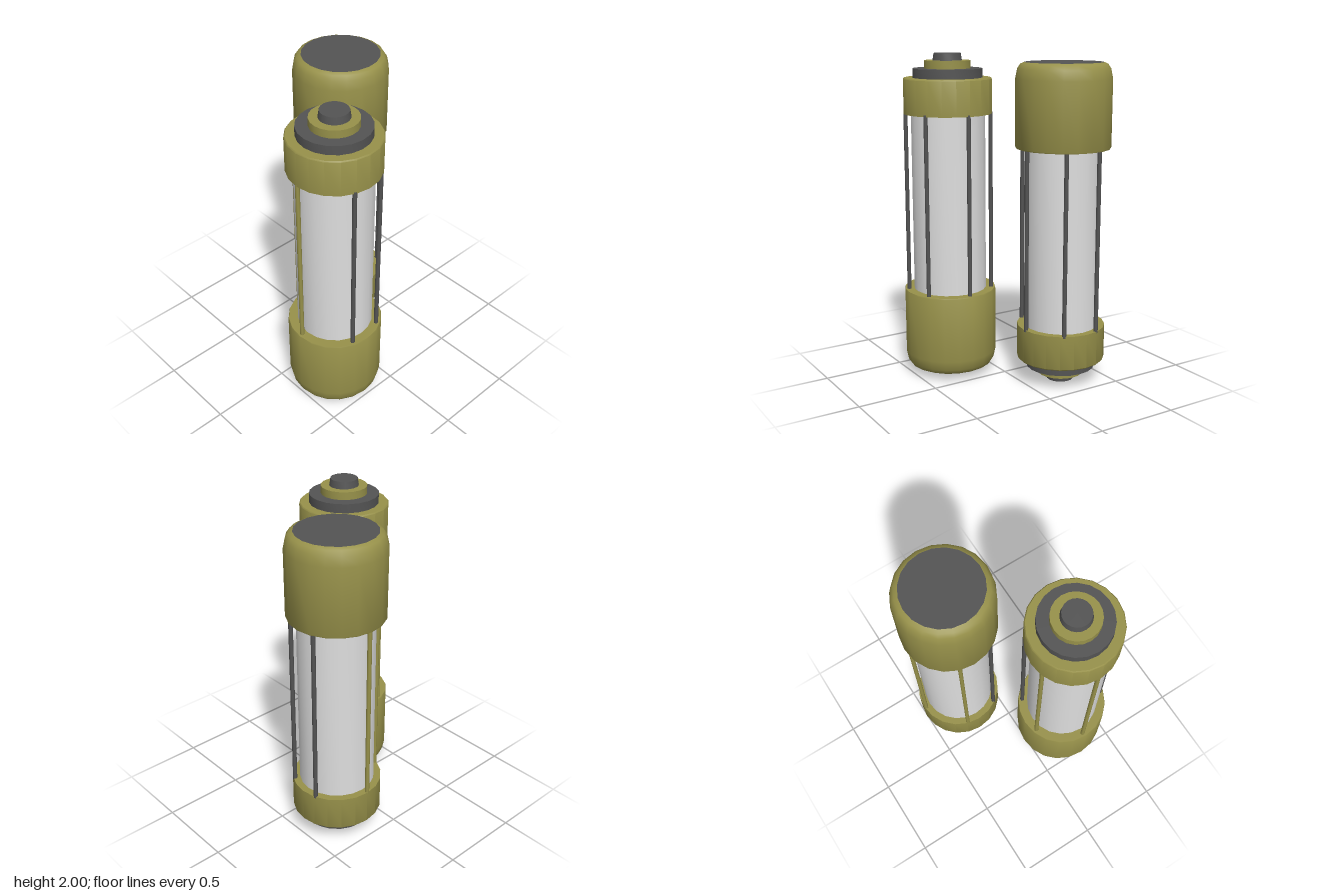
import * as THREE from 'three';
import { toCreasedNormals } from 'three/addons/utils/BufferGeometryUtils.js';

const SIDES = 20;
const olive = new THREE.MeshStandardMaterial({ color: 0x97914a });
olive.name = 'olive';
const darkGrey = new THREE.MeshStandardMaterial({ color: 0x545454 });
darkGrey.name = 'dark grey';
const paleGrey = new THREE.MeshStandardMaterial({ color: 0xdedede });
paleGrey.name = 'pale grey';

// Turned part from [radius, height] points listed bottom to top
function turned(name, points, material) {
  const profile = points.map(([r, y]) => new THREE.Vector2(r, y));
  const geometry = toCreasedNormals(new THREE.LatheGeometry(profile, SIDES), 0.72);
  const mesh = new THREE.Mesh(geometry, material);
  mesh.name = name;
  return mesh;
}

// Rod angles around the tube in degrees, measured from the front
const RODS = [
  [-2, olive], [71, darkGrey], [121, darkGrey],
  [179, darkGrey], [-125, darkGrey], [-73, olive],
];

function createCanister(name) {
  const canister = new THREE.Group();
  canister.name = name;

  // Large rounded cup with a dark flat end
  canister.add(turned('cup', [[0.234, 0.045], [0.257, 0.056], [0.274, 0.082], [0.286, 0.14], [0.286, 0.54], [0.283, 0.547], [0, 0.547]], olive));
  canister.add(turned('cupEnd', [[0, 0.045], [0.234, 0.045]], darkGrey));

  // Inner tube
  canister.add(turned('tube', [[0.227, 0.54], [0.227, 1.65]], paleGrey));

  // Collar and stepped terminal
  canister.add(turned('collar', [[0, 1.64], [0.27, 1.64], [0.27, 1.848], [0.264, 1.855], [0, 1.855]], olive));
  canister.add(turned('lowerDisc', [[0.211, 1.85], [0.211, 1.91], [0, 1.91]], darkGrey));
  canister.add(turned('upperDisc', [[0.14, 1.905], [0.14, 1.957], [0, 1.957]], olive));
  canister.add(turned('knob', [[0.09, 1.95], [0.082, 2], [0, 2]], darkGrey));

  // Thin rods around the tube
  for (const [degrees, material] of RODS) {
    const angle = THREE.MathUtils.degToRad(degrees);
    const rod = new THREE.Mesh(new THREE.CylinderGeometry(0.013, 0.013, 1.11, 8, 1, true), material);
    rod.name = 'rod';
    rod.position.set(0.259 * Math.sin(angle), 1.095, 0.259 * Math.cos(angle));
    canister.add(rod);
  }
  return canister;
}

export function createModel() {
  const model = new THREE.Group();
  model.name = 'canisterPair';

  const upright = createCanister('uprightCanister');
  upright.position.set(0.248, 0, 0.255);

  // Second canister stands upside down
  const inverted = createCanister('invertedCanister');
  inverted.rotation.set(0, -Math.PI / 2, Math.PI);
  inverted.position.set(-0.248, 2, -0.255);

  model.add(upright, inverted);
  return model;
}
